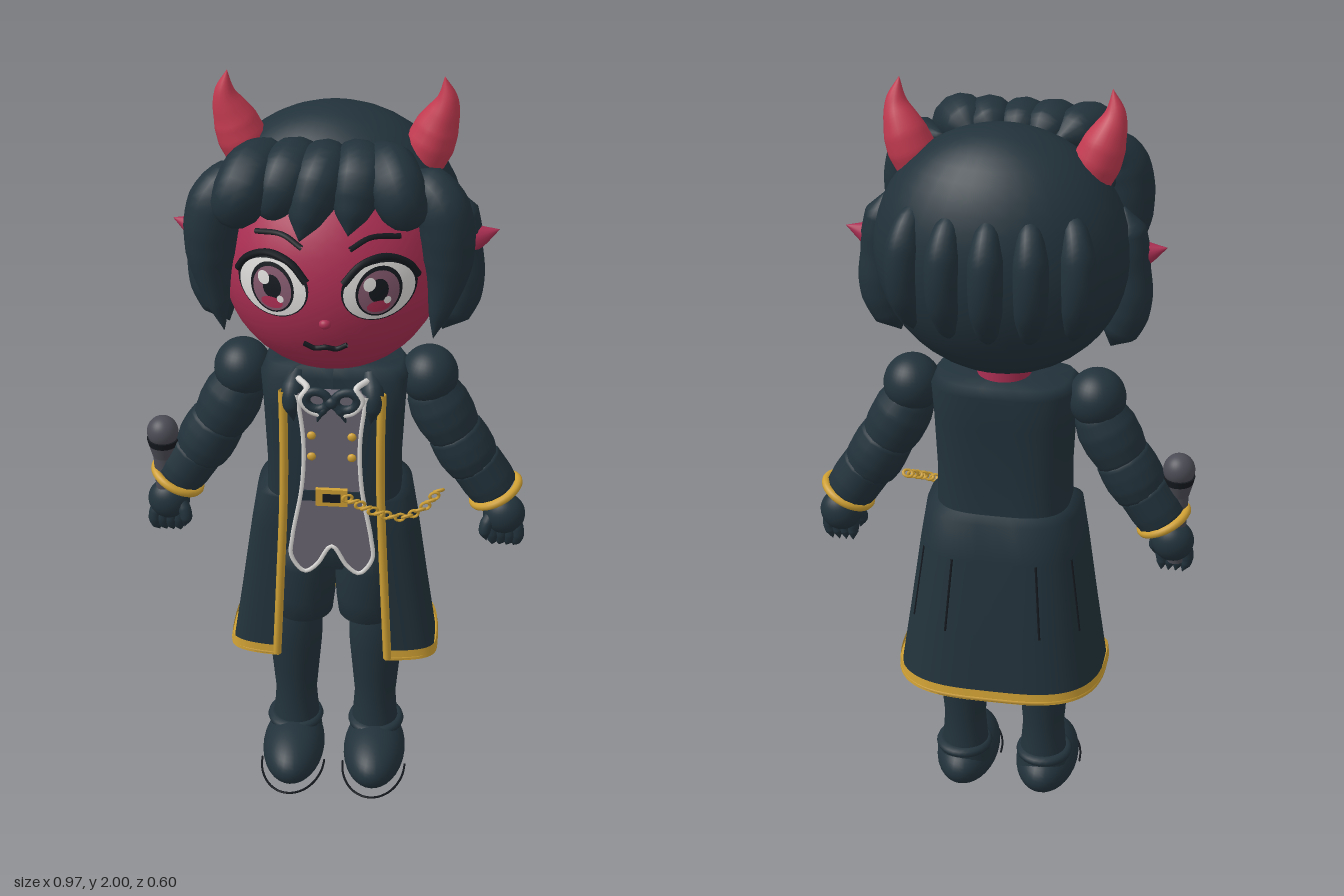
import * as THREE from 'three';
import { mergeVertices } from 'three/addons/utils/BufferGeometryUtils.js';

const paint = (name, color) => {
  const m = new THREE.MeshStandardMaterial({ color, side: THREE.DoubleSide });
  m.name = name;
  return m;
};
const V = (p) => new THREE.Vector3(...p);

export function createModel() {
  const dark = paint('midnight cloth and hair', 0x22323b);
  const skin = paint('crimson skin', 0xa92e52);
  const horn = paint('horn red', 0xc23a50);
  const gold = paint('gold trim', 0xcfa034);
  const grey = paint('vest grey', 0x6a6672);
  const white = paint('white', 0xdad8d6);
  const iris = paint('iris mauve', 0x80566a);
  const ink = paint('ink', 0x15191e);
  const steel = paint('microphone grey', 0x4b4b55);

  const model = new THREE.Group();
  const add = (name, geo, mat, pos = [0, 0, 0], scale = [1, 1, 1], rot = [0, 0, 0]) => {
    const mesh = new THREE.Mesh(geo, mat);
    mesh.name = name;
    mesh.position.set(...pos);
    mesh.scale.set(...scale);
    mesh.rotation.set(...rot);
    model.add(mesh);
    return mesh;
  };
  const ball = (name, mat, pos, radii) => add(name, new THREE.SphereGeometry(1, 32, 24), mat, pos, radii);
  const cord = (name, mat, pts, r, closed = false) =>
    add(name, new THREE.TubeGeometry(new THREE.CatmullRomCurve3(pts.map(V), closed, 'centripetal'), pts.length * 8, r, 6, closed), mat);

  // Tube whose radius follows a list of values along its length
  const taper = (name, mat, pts, r, profile) => {
    const n = 28, sides = 14;
    const curve = new THREE.CatmullRomCurve3(pts.map(V));
    let geo = new THREE.TubeGeometry(curve, n, r, sides, false);
    const p = geo.attributes.position, v = new THREE.Vector3();
    for (let i = 0; i <= n; i++) {
      const c = curve.getPointAt(i / n);
      const f = (i / n) * (profile.length - 1), k = Math.min(Math.floor(f), profile.length - 2);
      const s = THREE.MathUtils.lerp(profile[k], profile[k + 1], f - k);
      for (let j = 0; j <= sides; j++) {
        const id = i * (sides + 1) + j;
        v.fromBufferAttribute(p, id).sub(c).multiplyScalar(s).add(c);
        p.setXYZ(id, v.x, v.y, v.z);
      }
    }
    geo.deleteAttribute('uv');
    geo.deleteAttribute('normal');
    geo = mergeVertices(geo, 1e-5);
    geo.computeVertexNormals();
    return add(name, geo, mat);
  };

  // Point on a garment ring: row = [y, halfWidth, frontZ, backZ, halfOpening], u runs round the back
  const ringPoint = ([y, w, zf, zb, open], u) => {
    const p = 0.6, a = Math.asin(Math.pow(Math.min(open / w, 0.95), 1 / p));
    const t = a + u * (2 * Math.PI - 2 * a), s = Math.sin(t), c = Math.cos(t);
    const x = w * Math.sign(s) * Math.pow(Math.abs(s), p);
    const z = c > 0 ? zf * Math.pow(c, 0.4) : zb * Math.pow(-c, 0.75);
    return [x, y, z];
  };
  const loft = (name, mat, rows) => {
    const n = 64, pos = [], idx = [];
    rows.forEach((row, r) => {
      for (let i = 0; i <= n; i++) {
        pos.push(...ringPoint(row, i / n));
        const a = r * (n + 1) + i, b = a + n + 1;
        if (r < rows.length - 1 && i < n) idx.push(a, a + 1, b, a + 1, b + 1, b);
      }
    });
    const geo = new THREE.BufferGeometry();
    geo.setAttribute('position', new THREE.Float32BufferAttribute(pos, 3));
    geo.setIndex(idx);
    geo.computeVertexNormals();
    return add(name, geo, mat);
  };

  // Head, hair shell, neck
  ball('face', skin, [0, 1.56, 0.06], [0.265, 0.27, 0.235]);
  ball('hairShell', dark, [0, 1.6, -0.04], [0.31, 0.31, 0.22]);
  add('neck', new THREE.CylinderGeometry(0.065, 0.07, 0.14, 24), skin, [0, 1.27, -0.01]);

  // Facial features follow the curve of the face
  const faceZ = (x, y) => 0.06 + 0.235 * Math.sqrt(Math.max(0, 1 - (x / 0.265) ** 2 - ((y - 1.56) / 0.27) ** 2));
  const onFace = (name, mat, x, y, rx, ry, lift) => {
    const geo = new THREE.RingGeometry(0, 1, 32, 5), p = geo.attributes.position;
    for (let i = 0; i < p.count; i++) {
      const px = x + p.getX(i) * rx, py = y + p.getY(i) * ry;
      p.setXYZ(i, px, py, faceZ(px, py) + lift);
    }
    geo.computeVertexNormals();
    add(name, geo, mat);
  };
  const faceLine = (name, mat, pts, r) => cord(name, mat, pts.map(([x, y]) => [x, y, faceZ(x, y) + 0.006]), r);
  for (const s of [-1, 1]) {
    const x = s * 0.122;
    onFace('eyeOutline', ink, x, 1.587, 0.085, 0.076, 0.003);
    onFace('eyeWhite', white, x, 1.583, 0.08, 0.068, 0.006);
    onFace('irisRim', ink, x, 1.585, 0.052, 0.06, 0.008);
    onFace('iris', iris, x, 1.583, 0.046, 0.053, 0.010);
    onFace('pupil', ink, x, 1.59, 0.022, 0.028, 0.012);
    onFace('eyeGlow', skin, x, 1.552, 0.026, 0.014, 0.013);
    onFace('eyeHighlight', white, x - 0.02, 1.608, 0.014, 0.016, 0.014);
    onFace('smallHighlight', white, x + 0.02, 1.565, 0.008, 0.009, 0.014);
    faceLine('upperLid', ink, [[s * 0.042, 1.61], [s * 0.08, 1.65], [s * 0.135, 1.662], [s * 0.185, 1.635], [s * 0.208, 1.6]], 0.009);
    faceLine('eyebrow', ink, [[s * 0.055, 1.685], [s * 0.1, 1.705], [s * 0.165, 1.695]], 0.007);
    taper('ear', skin, [[s * 0.26, 1.59, 0], [s * 0.33, 1.6, 0], [s * 0.39, 1.62, -0.005]], 0.05, [1, 0.95, 0.5, 0]);
    taper('horn', horn, [[s * 0.205, 1.79, -0.015], [s * 0.235, 1.87, -0.015], [s * 0.257, 1.94, -0.005], [s * 0.25, 2.0, 0]], 0.058, [0.9, 1, 0.9, 0.65, 0.35, 0]);
    // Long front lock and lock beside the ear
    taper('frontLock', dark, [[s * 0.17, 1.82, 0.12], [s * 0.25, 1.77, 0.17], [s * 0.275, 1.62, 0.18], [s * 0.245, 1.43, 0.2]], 0.064, [0, 0.8, 1, 1, 0.9, 0.65, 0.4, 0]);
    taper('earLock', dark, [[s * 0.285, 1.72, -0.01], [s * 0.3, 1.6, -0.01], [s * 0.3, 1.46, -0.01], [s * 0.26, 1.35, 0.0]], 0.056, [0, 0.8, 0.9, 0.9, 1, 1, 0.85, 0]);
  }
  ball('nose', skin, [0, 1.505, 0.29], [0.014, 0.012, 0.012]);
  faceLine('mouth', ink, [[-0.05, 1.445], [-0.025, 1.432], [0, 1.437], [0.025, 1.432], [0.05, 1.445]], 0.006);

  // Fringe: [root x, middle x, tip x, tip y]
  for (const [a, b, c, y] of [[-0.1, -0.17, -0.23, 1.71], [-0.05, -0.09, -0.15, 1.73], [0, -0.015, -0.06, 1.70], [0.04, 0.07, 0.05, 1.715], [0.09, 0.14, 0.2, 1.72]]) {
    taper('fringeLock', dark, [[a, 1.83, 0.08], [b, 1.835, 0.18], [(b + c) / 2, 1.78, 0.225], [c, y, faceZ(c, y) + 0.015]], 0.066, [0, 0.8, 1, 1, 0.85, 0.55, 0]);
  }
  // Ridged locks down the back of the head
  for (const x of [-0.2, -0.1, 0, 0.1, 0.2]) {
    const z = -0.255 + x * x * 1.4;
    taper('backLock', dark, [[x * 0.85, 1.77, z + 0.07], [x, 1.69, z + 0.01], [x * 1.03, 1.56, z], [x * 0.9, 1.41, z + 0.06]], 0.042, [0, 0.7, 1, 1, 0.95, 0.7, 0]);
  }

  // Body beneath the coat, coat top, coat skirt
  loft('body', dark, [[0.66, 0.1, 0.05, -0.07, 0], [0.72, 0.15, 0.07, -0.1, 0], [0.92, 0.15, 0.08, -0.1, 0], [1.1, 0.155, 0.085, -0.1, 0], [1.24, 0.165, 0.08, -0.11, 0], [1.262, 0.15, 0.06, -0.1, 0], [1.265, 0.03, 0.02, -0.03, 0]]);
  loft('coatTop', dark, [[0.89, 0.17, 0.1, -0.125, 0.118], [1.0, 0.168, 0.1, -0.115, 0.115], [1.15, 0.175, 0.1, -0.12, 0.115], [1.24, 0.182, 0.09, -0.125, 0.11], [1.265, 0.165, 0.065, -0.115, 0.09], [1.266, 0.06, 0.02, -0.05, 0.04]]);
  const hem = [0.43, 0.265, 0.105, -0.215, 0.145];
  const skirt = [hem, [0.6, 0.24, 0.102, -0.195, 0.137], [0.8, 0.212, 0.1, -0.168, 0.127], [0.9, 0.196, 0.098, -0.15, 0.12], [0.915, 0.165, 0.085, -0.12, 0.115]];
  loft('coatSkirt', dark, skirt);
  loft('hemBand', gold, [[0.42, 0.273, 0.113, -0.225, 0.14], [0.45, 0.27, 0.111, -0.221, 0.14]]);
  cord('hemEdge', gold, Array.from({ length: 33 }, (_, i) => ringPoint([0.425, 0.266, 0.106, -0.218, 0.145], i / 32)), 0.008);
  for (const u of [0.32, 0.44, 0.56, 0.68]) {
    cord('backSeam', ink, skirt.slice(1, 3).map((row) => ringPoint(row, u)), 0.003);
  }

  // Vest with two points, white piping, buttons
  const half = [[0.085, 1.215], [0.07, 1.08], [0.075, 0.95], [0.1, 0.8], [0.103, 0.74], [0.07, 0.695], [0.04, 0.715]];
  const outline = [...half, [0, 0.775], ...half.map(([x, y]) => [-x, y]).reverse()];
  add('vest', new THREE.ExtrudeGeometry(new THREE.Shape(outline.map(([x, y]) => new THREE.Vector2(x, y))), { depth: 0.03, bevelEnabled: false }), grey, [0, 0, 0.082]);
  cord('vestPiping', white, outline.map(([x, y]) => [x, y, 0.112]), 0.006);
  for (const s of [-1, 1]) {
    for (const y of [1.1, 1.04]) ball('button', gold, [s * 0.05, y, 0.114], [0.011, 0.011, 0.007]);
    cord('coatEdging', gold, [[s * 0.122, 1.215, 0.097], [s * 0.12, 1.08, 0.103], [s * 0.122, 0.92, 0.103], [s * 0.134, 0.65, 0.105], [s * 0.145, 0.425, 0.107]], 0.011);
    // Lapels, collar frill and bow
    taper('lapel', dark, [[s * 0.09, 1.245, 0.05], [s * 0.1, 1.2, 0.095], [s * 0.095, 1.13, 0.1]], 0.028, [0.8, 1, 0.8, 0]);
    cord('collarFrill', white, [[s * 0.085, 1.245, 0.085], [s * 0.06, 1.235, 0.115], [s * 0.075, 1.205, 0.12], [s * 0.055, 1.175, 0.12], [s * 0.03, 1.165, 0.12]], 0.008);
    add('bowLoop', new THREE.TorusGeometry(0.024, 0.011, 10, 20), dark, [s * 0.036, 1.203, 0.118], [1.2, 1, 1], [0, 0, s * 0.3]);
    taper('bowTail', dark, [[0, 1.2, 0.118], [s * 0.025, 1.17, 0.12], [s * 0.035, 1.145, 0.12]], 0.011, [0.6, 1, 0.2]);
  }
  ball('bowKnot', dark, [0, 1.2, 0.122], [0.016, 0.016, 0.014]);

  // Belt, buckle and hanging chain
  add('belt', new THREE.BoxGeometry(0.15, 0.03, 0.006), dark, [0, 0.925, 0.112]);
  add('buckle', new THREE.BoxGeometry(0.08, 0.048, 0.012), gold, [0, 0.925, 0.117]);
  add('buckleCentre', new THREE.BoxGeometry(0.045, 0.024, 0.008), ink, [0, 0.925, 0.121]);
  const chain = new THREE.CatmullRomCurve3([[0.04, 0.925, 0.12], [0.11, 0.89, 0.122], [0.18, 0.872, 0.112], [0.23, 0.89, 0.09], [0.265, 0.915, 0.05]].map(V));
  for (let i = 0; i <= 15; i++) {
    const p = chain.getPointAt(i / 15);
    add('chainLink', new THREE.TorusGeometry(0.011, 0.004, 6, 12), gold, p.toArray(), [1.1, 0.9, 1], [i % 2 ? 0.9 : 0, 0.3, 0]);
  }

  for (const s of [-1, 1]) {
    // Puffed sleeves in overlapping segments
    ball('shoulder', dark, [s * 0.232, 1.215, -0.015], [0.072, 0.075, 0.075]);
    taper('upperSleeve', dark, [[s * 0.215, 1.22, -0.015], [s * 0.265, 1.12, -0.015], [s * 0.32, 1.015, -0.015]], 0.076, [0.4, 0.85, 1, 1, 0.9, 0.3]);
    taper('elbowSleeve', dark, [[s * 0.28, 1.09, -0.015], [s * 0.325, 1.01, -0.015], [s * 0.365, 0.93, -0.015]], 0.075, [0.4, 0.95, 1, 1, 0.9, 0.4]);
    taper('foreSleeve', dark, [[s * 0.335, 0.995, -0.015], [s * 0.375, 0.935, -0.015], [s * 0.42, 0.865, -0.015]], 0.068, [0.5, 1, 1, 1, 0.95, 0]);
    add('goldCuff', new THREE.TorusGeometry(0.064, 0.011, 10, 36), gold, [s * 0.408, 0.885, -0.012], [1, 1, 1], [Math.PI / 2, s * 0.49, 0]);
    // Hand with fingers
    ball('hand', dark, [s * 0.432, 0.822, -0.005], [0.054, 0.055, 0.046]);
    for (let i = 0; i < 4; i++) {
      taper('finger', dark, [[s * (0.40 + i * 0.021), 0.81, 0.005], [s * (0.406 + i * 0.021), 0.765, 0.008], [s * (0.405 + i * 0.018), 0.728, 0]], 0.017, [0.8, 1, 1, 0.8, 0]);
    }
    taper('thumb', dark, [[s * 0.4, 0.83, 0.01], [s * 0.385, 0.79, 0.025], [s * 0.39, 0.755, 0.025]], 0.017, [0.8, 1, 0.9, 0]);

    // Trouser leg, shin and boot
    const lathe = (pts) => new THREE.LatheGeometry(pts.map(([r, y]) => new THREE.Vector2(r, y)), 28);
    add('trouserLeg', lathe([[0.06, 0.495], [0.077, 0.5], [0.084, 0.56], [0.088, 0.66], [0.075, 0.76], [0, 0.8]]), dark, [s * 0.085, 0, -0.01]);
    add('shin', lathe([[0.07, 0.09], [0.06, 0.16], [0.055, 0.23], [0.062, 0.31], [0.07, 0.4], [0.072, 0.48], [0.06, 0.53]]), dark, [s * 0.107, 0, -0.012]);
    add('bootCuff', new THREE.TorusGeometry(0.058, 0.014, 10, 28), dark, [s * 0.11, 0.135, -0.012], [1.05, 1.1, 1], [Math.PI / 2, 0, 0]);
    ball('boot', dark, [s * 0.11, 0.075, 0.045], [0.083, 0.075, 0.15]);
    cord('toeTrim', ink, Array.from({ length: 13 }, (_, i) => {
      const a = Math.PI * i / 12;
      return [s * 0.11 + 0.085 * Math.cos(a), 0.04, 0.07 + 0.145 * Math.sin(a)];
    }), 0.003);
  }

  // Microphone in the right hand
  ball('microphoneHead', steel, [-0.44, 1.025, 0], [0.04, 0.042, 0.04]);
  add('microphoneBand', new THREE.CylinderGeometry(0.041, 0.037, 0.018, 24), ink, [-0.44, 0.998, 0]);
  add('microphoneNeck', new THREE.CylinderGeometry(0.037, 0.028, 0.035, 24), steel, [-0.44, 0.972, 0]);
  add('microphoneHandle', new THREE.CylinderGeometry(0.027, 0.02, 0.2, 20), steel, [-0.44, 0.86, 0]);

  return model;
}
